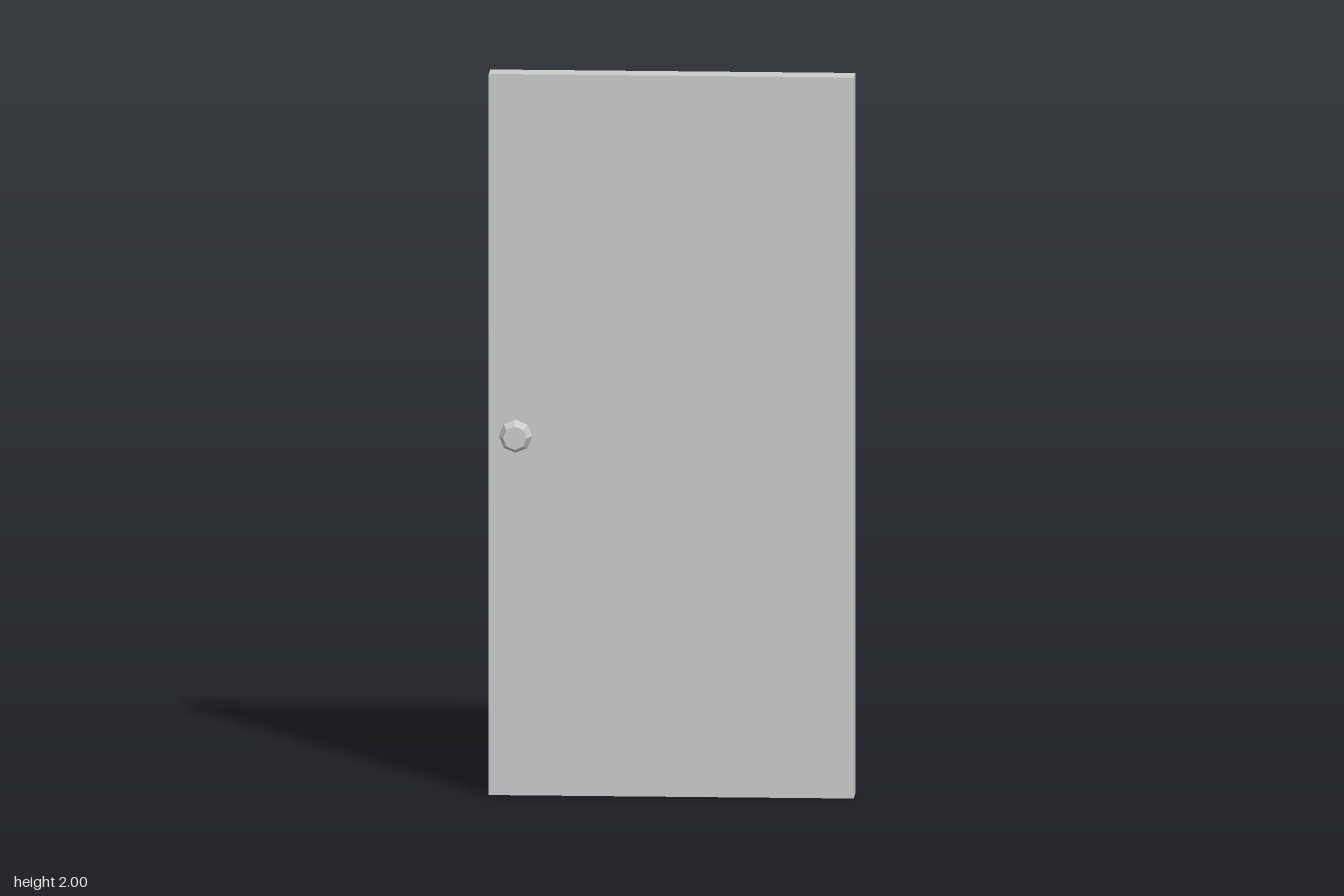
import * as THREE from 'three';

const material = new THREE.MeshStandardMaterial({ color: 0xcccccc, flatShading: true });

// Eight-sided faceted knob, widest in the middle, axis along z
function makeKnob(name, side) {
  const profile = [[0, -0.035], [0.0325, -0.035], [0.046, 0], [0.0325, 0.035], [0, 0.035]]
    .map(([r, h]) => new THREE.Vector2(r, h));
  const geometry = new THREE.LatheGeometry(profile, 8).rotateX(Math.PI / 2);
  const knob = new THREE.Mesh(geometry, material);
  knob.name = name;
  knob.position.set(-0.425, 1, side * 0.061);
  return knob;
}

export function createModel() {
  const door = new THREE.Group();
  door.name = 'door';

  // Flat door leaf
  const panel = new THREE.Mesh(new THREE.BoxGeometry(1, 2, 0.074), material);
  panel.name = 'doorPanel';
  panel.position.y = 1;
  door.add(panel);

  // One knob on each face, partly sunk into the leaf
  door.add(makeKnob('frontKnob', 1), makeKnob('backKnob', -1));
  return door;
}
